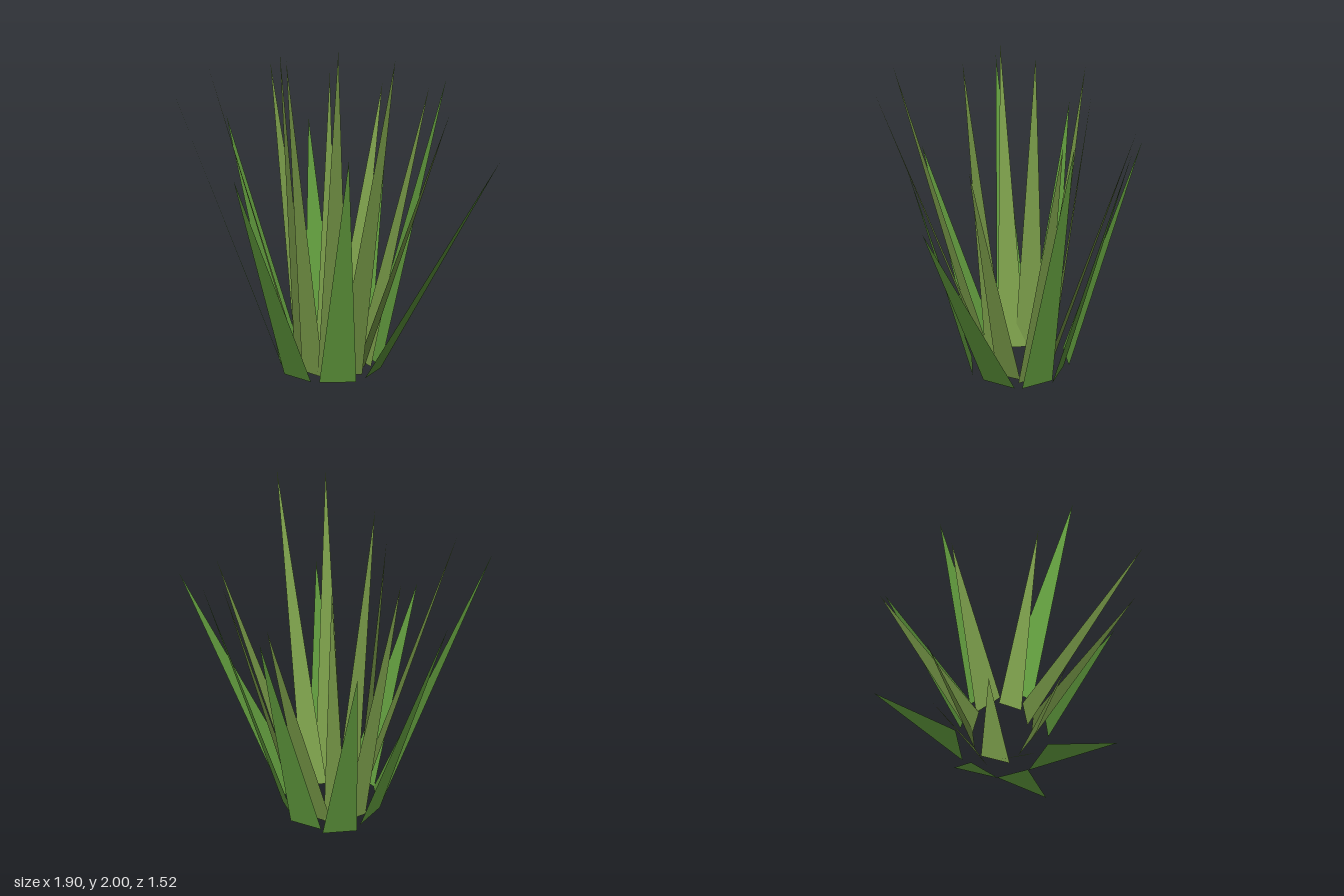
import * as THREE from 'three';

// Each blade: tip x, y, z, then the two base corners x, z, x, z
const INNER = [
  [-0.06, 1.79, -0.44, -0.14, -0.22, 0.0, -0.23],
  [0.265, 1.70, -0.69, -0.05, -0.24, 0.12, -0.18],
  [0.56, 1.72, -0.28, 0.12, -0.2, 0.22, -0.03],
  [0.67, 1.61, 0.22, 0.12, 0.11, 0.18, -0.04],
  [0.36, 1.96, 0.76, 0.01, 0.145, 0.17, 0.12],
  [0.055, 2.0, 0.69, -0.1, 0.16, 0.09, 0.19],
  [-0.26, 1.92, 0.32, -0.2, 0.07, -0.06, 0.19],
  [-0.74, 1.88, 0.12, -0.2, 0.12, -0.22, -0.06],
  [-0.34, 1.94, -0.11, -0.25, 0.01, -0.19, -0.18],
  [-0.43, 1.85, -0.41, -0.26, -0.14, -0.12, -0.23],
];
const OUTER = [
  [-0.22, 1.46, -0.76, -0.215, -0.305, 0.0, -0.345],
  [0.31, 1.60, -0.67, 0.01, -0.31, 0.21, -0.24],
  [0.665, 1.76, -0.34, 0.18, -0.24, 0.28, -0.055],
  [0.95, 1.38, 0.45, 0.28, -0.01, 0.19, 0.19],
  [0.11, 1.40, 0.63, -0.08, 0.28, 0.14, 0.26],
  [-0.53, 1.28, 0.61, -0.305, 0.135, -0.13, 0.275],
  [-0.95, 1.75, 0.16, -0.3, 0.13, -0.345, -0.08],
  [-0.70, 1.53, -0.32, -0.35, -0.07, -0.23, -0.25],
];

// Flat tapering leaf whose front faces away from the plant's middle
function blade([tx, ty, tz, ax, az, bx, bz], material) {
  const tip = new THREE.Vector3(tx, ty, tz);
  const a = new THREE.Vector3(ax, 0, az);
  const b = new THREE.Vector3(bx, 0, bz);
  const corners = ax * bz - az * bx < 0 ? [a, b, tip] : [b, a, tip];
  const geometry = new THREE.BufferGeometry().setFromPoints(corners);
  geometry.computeVertexNormals();
  return new THREE.Mesh(geometry, material);
}

// Ring of blades in one shade of green
function bladeRing(name, rows, color) {
  const ring = new THREE.Group();
  ring.name = name + 's';
  const material = new THREE.MeshStandardMaterial({ color, flatShading: true, side: THREE.DoubleSide });
  rows.forEach((row, i) => {
    const mesh = blade(row, material);
    mesh.name = name + (i + 1);
    ring.add(mesh);
  });
  return ring;
}

export function createModel() {
  const model = new THREE.Group();
  model.name = 'grassTuft';
  model.add(bladeRing('innerBlade', INNER, 0x789a48));
  model.add(bladeRing('outerBlade', OUTER, 0x5f983c));
  return model;
}
